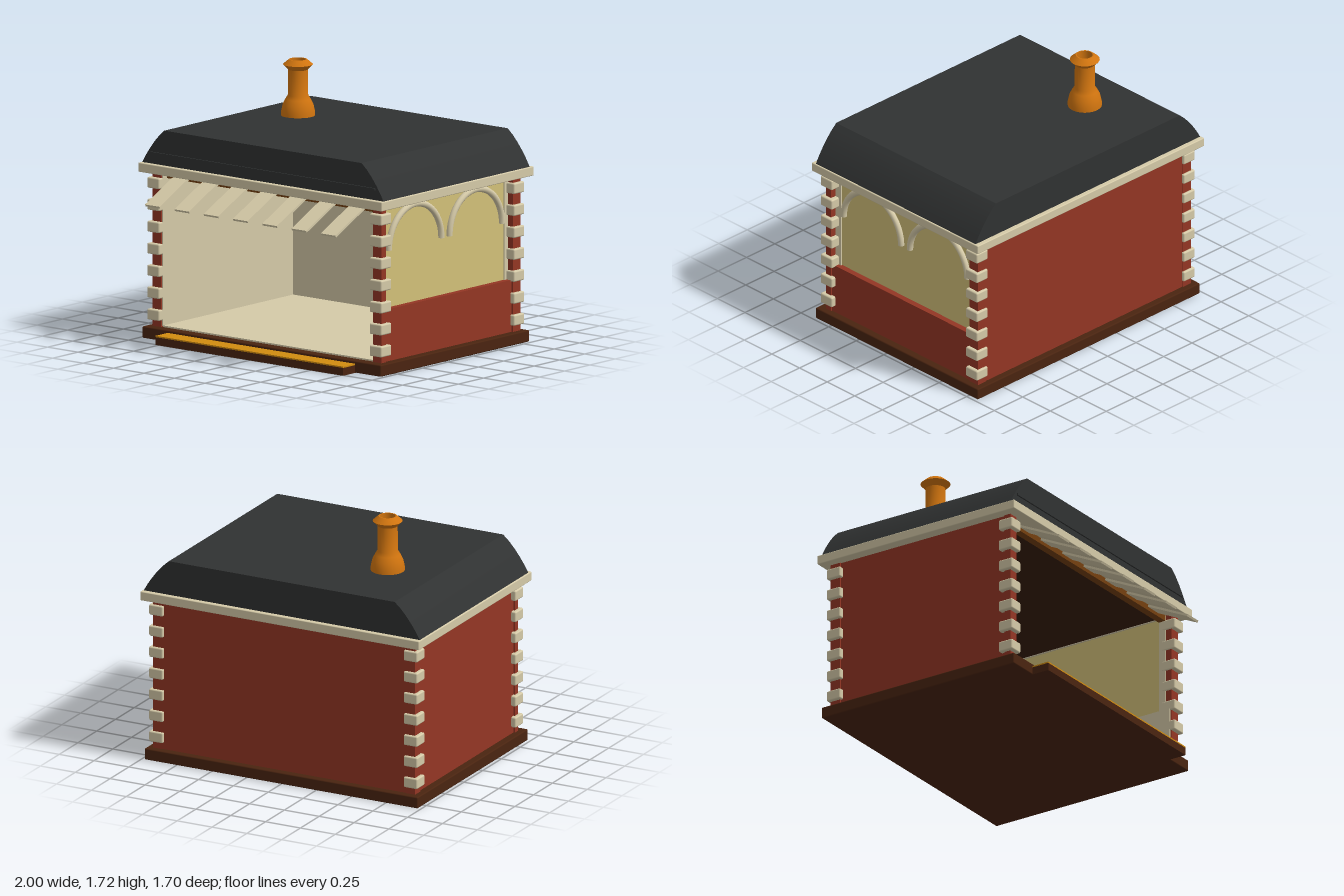
import * as THREE from 'three';
import { toCreasedNormals } from 'three/addons/utils/BufferGeometryUtils.js';
import { RoundedBoxGeometry } from 'three/addons/geometries/RoundedBoxGeometry.js';

const material = (name, color, extra = {}) => {
  const m = new THREE.MeshStandardMaterial({ color, ...extra });
  m.name = name;
  return m;
};

export function createModel() {
  const model = new THREE.Group();
  model.name = 'kiosk';

  const stone = material('stone', 0xd5caa8);
  const brick = material('brick', 0x943624);
  const slate = material('slate', 0x303232);
  const darkWood = material('dark wood', 0x4a2410);
  const shadeWood = material('ceiling wood', 0x381d09);
  const gold = material('gold', 0xd18c10);
  const copper = material('copper', 0xd0740f, { side: THREE.DoubleSide });
  const beamWood = material('beam wood', 0x75400f);
  const pane = material('window pane', 0xd2c079);

  const add = (name, geometry, mat) => {
    const mesh = new THREE.Mesh(geometry, mat);
    mesh.name = name;
    model.add(mesh);
    return mesh;
  };
  // Box given by its limits on each axis, with optional rounded edges
  const box = (name, mat, [x0, x1], [y0, y1], [z0, z1], round = 0) => {
    const size = [x1 - x0, y1 - y0, z1 - z0];
    const geometry = round ? new RoundedBoxGeometry(...size, 2, round) : new THREE.BoxGeometry(...size);
    const mesh = add(name, geometry, mat);
    mesh.position.set((x0 + x1) / 2, (y0 + y1) / 2, (z0 + z1) / 2);
    return mesh;
  };

  // Base, front step and floor
  box('base', darkWood, [-0.98, 0.98], [0, 0.075], [-0.83, 0.64], 0.008);
  box('step', darkWood, [-0.77, 0.77], [0, 0.05], [0.6, 0.76]);
  box('stepTread', gold, [-0.77, 0.77], [0.05, 0.059], [0.64, 0.76]);
  box('floor', stone, [-0.86, 0.86], [0.07, 0.085], [-0.72, 0.575]);

  // Back wall and closed side wall, with pale lining inside
  box('backWall', brick, [-0.93, 0.93], [0.07, 1.07], [-0.785, -0.72]);
  box('backLining', stone, [-0.87, 0.87], [0.08, 0.85], [-0.72, -0.71]);
  box('backUpperBand', shadeWood, [-0.87, 0.87], [0.85, 1.06], [-0.72, -0.71]);
  box('closedSideWall', brick, [-0.93, -0.87], [0.07, 1.07], [-0.75, 0.555]);
  box('closedSideLining', stone, [-0.87, -0.86], [0.08, 1.06], [-0.72, 0.575]);
  box('ceiling', shadeWood, [-0.87, 0.87], [1.055, 1.075], [-0.72, 0.5]);

  // Windowed side: low brick wall, framed pane and two arches
  box('lowSideWall', brick, [0.87, 0.93], [0.07, 0.41], [-0.75, 0.555]);
  box('lowSideLining', stone, [0.86, 0.87], [0.08, 0.41], [-0.72, 0.575]);
  box('windowPane', pane, [0.875, 0.89], [0.41, 1.055], [-0.69, 0.5]);
  box('windowHeader', stone, [0.865, 0.9], [1.05, 1.075], [-0.72, 0.53]);
  for (const [z0, z1] of [[0.49, 0.54], [-0.72, -0.68]]) {
    box('windowJamb', stone, [0.865, 0.9], [0.41, 1.07], [z0, z1]);
  }
  for (const z of [0.205, -0.395]) {
    const arch = add('windowArch', new THREE.TorusGeometry(0.26, 0.021, 10, 32, Math.PI), stone);
    arch.rotation.y = Math.PI / 2;
    arch.position.set(0.9, 0.78, z);
    for (const side of [-1, 1]) {
      const cap = add('archEnd', new THREE.CircleGeometry(0.021, 10), stone);
      cap.rotation.x = Math.PI / 2;
      cap.position.set(0.9, 0.78, z + side * 0.26);
    }
  }

  // Corner pillars with stacked corner stones
  const stones = new RoundedBoxGeometry(0.1, 0.07, 0.104, 2, 0.01);
  for (const side of [-1, 1]) {
    const xs = side > 0 ? [0.87, 0.94] : [-0.94, -0.87];
    for (const [z0, z1, stoneZ] of [[0.54, 0.585, 0.562], [-0.79, -0.715, -0.753]]) {
      box('cornerPillar', brick, xs, [0.07, 1.075], [z0, z1]);
      for (let i = 0; i < 7; i++) {
        add('cornerStone', stones, stone).position.set(side * 0.913, 0.152 + i * 0.1415, stoneZ);
      }
    }
  }

  // Beam above the opening and the sloping awning slats
  box('awningBeam', beamWood, [-0.87, 0.87], [1.03, 1.075], [0.49, 0.54]);
  const rise = 0.145, run = 0.3;
  const slat = new THREE.BoxGeometry(0.12, 0.014, Math.hypot(rise, run));
  for (let i = -3; i <= 3; i++) {
    const mesh = add('awningSlat', slat, stone);
    mesh.position.set(i * 0.2405, 0.984, 0.697);
    mesh.rotation.x = Math.atan2(rise, run);
  }

  // Cornice and roof with curved flanks
  box('cornice', stone, [-1, 1], [1.07, 1.13], [-0.85, 0.655], 0.006);
  const flank = [[0.99, 1.13], [0.962, 1.178], [0.93, 1.225], [0.893, 1.273], [0.853, 1.317], [0.81, 1.355]];
  const outline = [...flank, ...flank.map(([x, y]) => [-x, y]).reverse()];
  const profile = new THREE.Shape(outline.map(([x, y]) => new THREE.Vector2(x, y)));
  const roof = new THREE.ExtrudeGeometry(profile, { depth: 1.445, bevelEnabled: false });
  add('roof', toCreasedNormals(roof, 0.35), slate).position.z = -0.82;
  box('roofStrip', slate, [-0.925, 0.925], [1.193, 1.207], [0.62, 0.635]);

  // Flared, hollow chimney
  const stack = [[0.11, 1.34], [0.108, 1.38], [0.098, 1.425], [0.08, 1.46], [0.065, 1.485],
    [0.063, 1.65], [0.095, 1.683], [0.058, 1.715], [0.05, 1.715], [0.05, 1.6]];
  const chimney = new THREE.LatheGeometry(stack.map(([r, y]) => new THREE.Vector2(r, y)), 24);
  add('chimney', toCreasedNormals(chimney, 0.6), copper).position.set(-0.48, 0, -0.3);

  return model;
}
